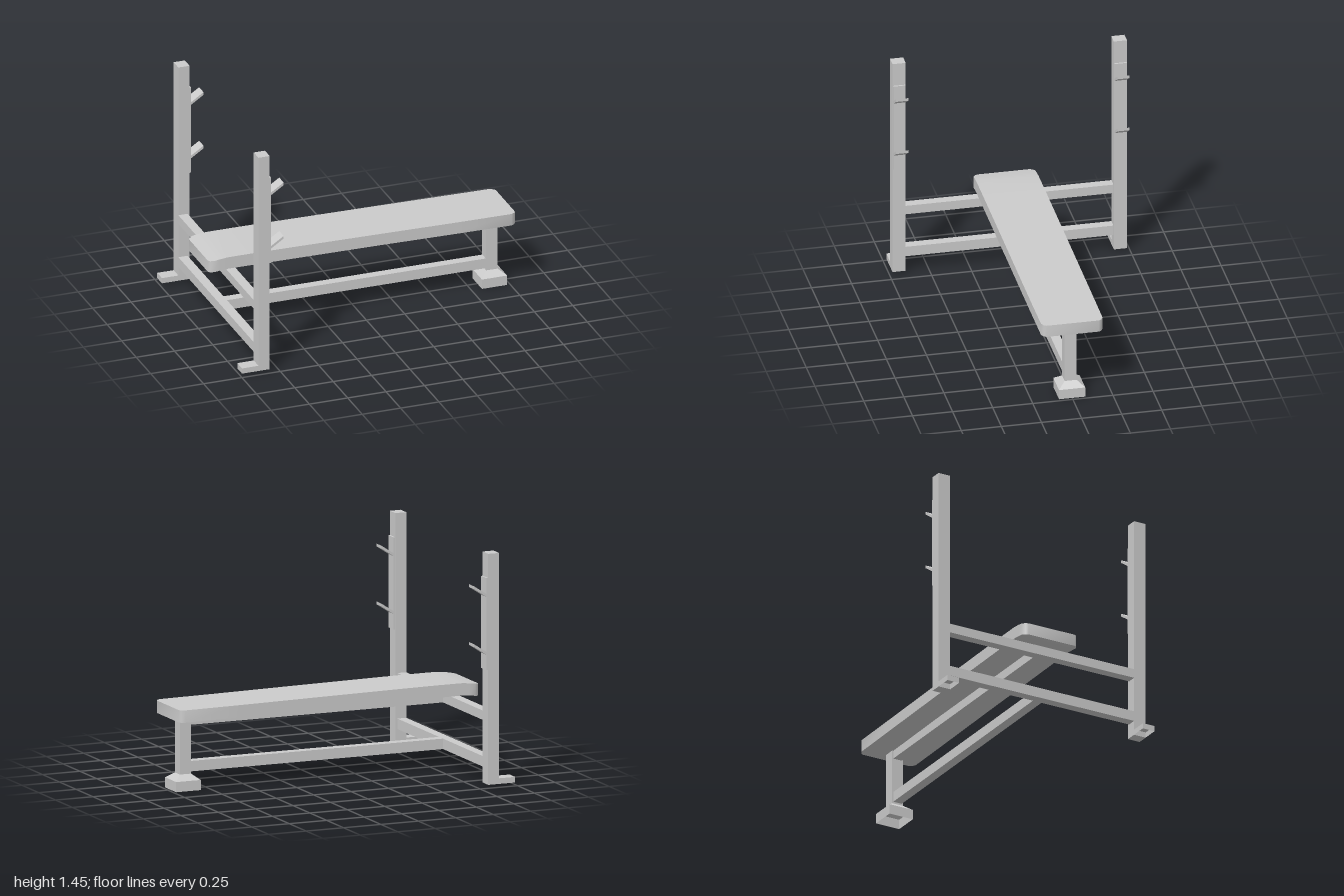
import * as THREE from 'three';
import { toCreasedNormals } from 'three/addons/utils/BufferGeometryUtils.js';

const steel = new THREE.MeshStandardMaterial({ color: 0xcccccc, flatShading: true });
const sheet = new THREE.MeshStandardMaterial({ color: 0xcccccc, flatShading: true, side: THREE.DoubleSide });
const padding = new THREE.MeshStandardMaterial({ color: 0xcccccc });

function add(parent, name, geometry, material = steel) {
  const mesh = new THREE.Mesh(geometry, material);
  mesh.name = name;
  parent.add(mesh);
  return mesh;
}

// Box given by its limits on each axis
function box(x0, x1, y0, y1, z0, z1) {
  return new THREE.BoxGeometry(x1 - x0, y1 - y0, z1 - z0)
    .translate((x0 + x1) / 2, (y0 + y1) / 2, (z0 + z1) / 2);
}

// Same, without the bottom face
function openBox(...limits) {
  const g = box(...limits);
  const index = Array.from(g.index.array);
  index.splice(18, 6);
  g.setIndex(index);
  return g;
}

// Padded board: cross-sections along x as [x, bottom, top, half width]
function padGeometry() {
  const stations = [
    [-1, 0.454, 0.529, 0.162], [-0.992, 0.455, 0.53, 0.178], [-0.968, 0.459, 0.534, 0.192],
    [-0.93, 0.464, 0.54, 0.193], [-0.88, 0.468, 0.545, 0.193], [-0.7, 0.467, 0.545, 0.193],
    [-0.46, 0.465, 0.543, 0.193], [0.1, 0.461, 0.537, 0.193], [0.6, 0.455, 0.531, 0.193],
    [0.968, 0.451, 0.528, 0.192], [0.992, 0.45, 0.527, 0.178], [1, 0.45, 0.527, 0.162],
  ];
  const n = stations.length - 1;
  const g = new THREE.BoxGeometry(n, 1, 1, n, 1, 1);
  const p = g.attributes.position;
  for (let i = 0; i < p.count; i++) {
    const [x, bottom, top, half] = stations[Math.round(p.getX(i) + n / 2)];
    p.setXYZ(i, x, p.getY(i) > 0 ? top : bottom, Math.sign(p.getZ(i)) * half);
  }
  return toCreasedNormals(g, 0.6);
}

// Sloping bar catch, rising away from the post
function hookGeometry(y) {
  const s = new THREE.Shape();
  s.moveTo(-0.803, y);
  s.lineTo(-0.72, y + 0.055);
  s.lineTo(-0.72, y + 0.073);
  s.lineTo(-0.803, y + 0.018);
  return new THREE.ExtrudeGeometry(s, { depth: 0.076, bevelEnabled: false }).translate(0, 0, -0.038);
}

export function createModel() {
  const model = new THREE.Group();
  model.name = 'weightBench';

  add(model, 'pad', padGeometry(), padding);

  // Uprights with foot, backing plate and two bar catches
  for (const side of [1, -1]) {
    const upright = new THREE.Group();
    upright.name = side > 0 ? 'frontUpright' : 'backUpright';
    upright.position.z = side * 0.69;
    add(upright, 'post', box(-0.885, -0.812, 0.017, 1.453, -0.041, 0.041));
    add(upright, 'postFoot', openBox(-0.992, -0.885, 0.017, 0.052, -0.041, 0.041), sheet);
    add(upright, 'hookPlate', box(-0.812, -0.801, 0.73, 1.303, -0.038, 0.038));
    for (const y of [0.825, 1.185]) add(upright, 'barHook', hookGeometry(y));
    model.add(upright);
  }

  // Upper and lower frame rails
  for (const [name, y0, y1] of [['lower', 0.11, 0.175], ['upper', 0.4, 0.458]]) {
    add(model, name + 'CrossRail', box(-0.885, -0.825, y0, y1, -0.65, 0.65));
    add(model, name + 'LongRail', box(-0.825, 0.862, y0, y1, -0.03, 0.03));
  }

  // End leg on a hollow flared foot
  add(model, 'leg', box(0.861, 0.936, 0.098, 0.458, -0.0375, 0.0375));
  const flare = new THREE.CylinderGeometry(0.0375 * Math.SQRT2, 0.082 * Math.SQRT2, 0.035, 4, 1, true)
    .rotateY(Math.PI / 4).translate(0.8985, 0.0805, 0);
  add(model, 'footFlare', flare, sheet);
  const skirt = new THREE.CylinderGeometry(0.082 * Math.SQRT2, 0.082 * Math.SQRT2, 0.063, 4, 1, true)
    .rotateY(Math.PI / 4).translate(0.8985, 0.0315, 0);
  add(model, 'footSkirt', skirt, sheet);

  return model;
}
